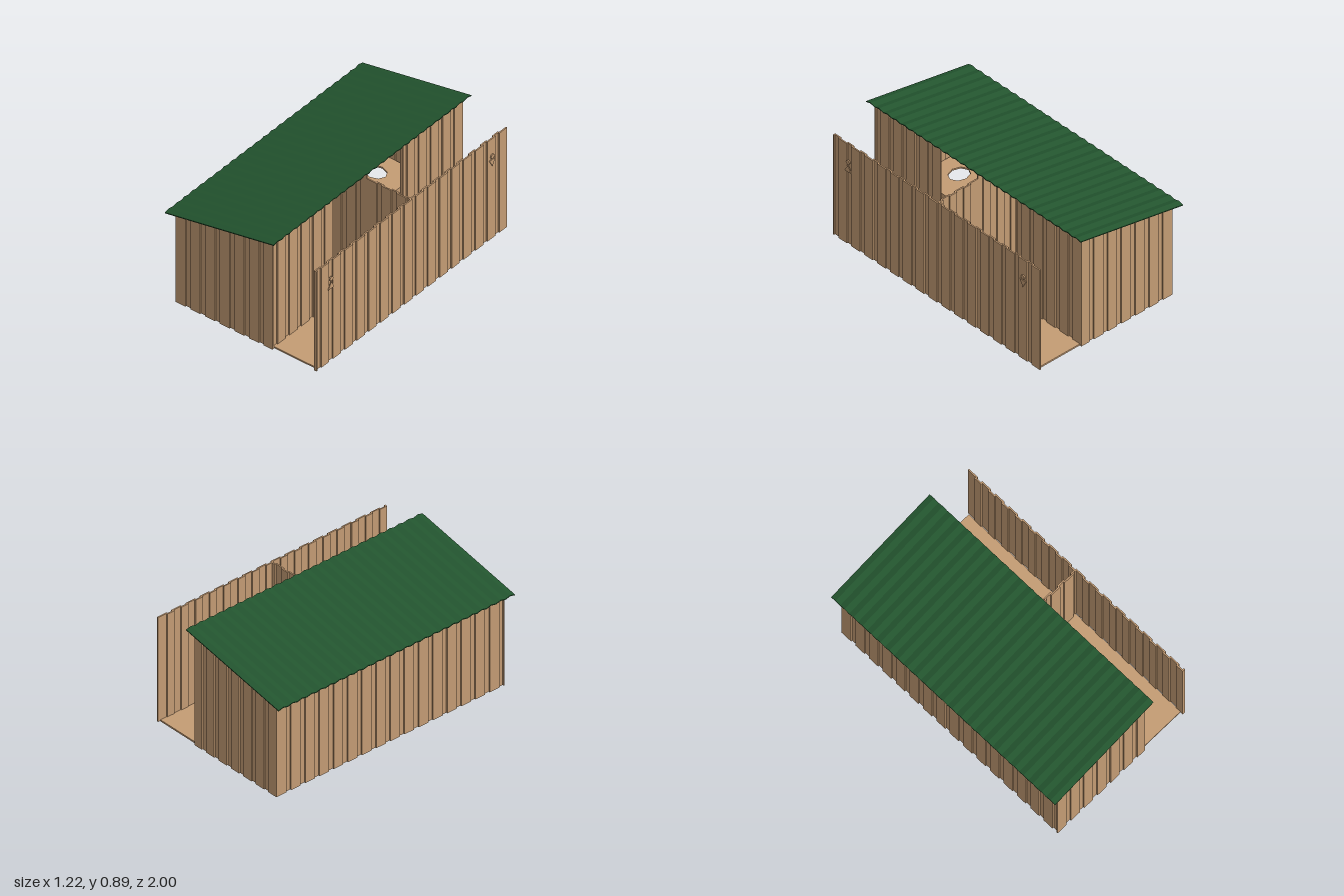
import * as THREE from 'three';

const wood = new THREE.MeshStandardMaterial({ color: 0xc49c74 });
wood.name = 'wood';
const green = new THREE.MeshStandardMaterial({ color: 0x23552f });
green.name = 'roof green';

const SLOPE = 0.192;
const underRoof = x => 0.715 + SLOPE * (x + 0.55);

function add(parent, name, geometry, material = wood) {
  const mesh = new THREE.Mesh(geometry, material);
  mesh.name = name;
  parent.add(mesh);
  return mesh;
}

function box(parent, name, x0, x1, y0, y1, z0, z1) {
  const m = add(parent, name, new THREE.BoxGeometry(x1 - x0, y1 - y0, z1 - z0));
  m.position.set((x0 + x1) / 2, (y0 + y1) / 2, (z0 + z1) / 2);
}

// Board-on-board wall: outer boards with gaps, covered by a second layer behind.
// It runs along the axis from a to b; "at" is the outer face, "out" its direction.
function boardWall(parent, name, axis, a, b, at, out, top) {
  const wall = new THREE.Group();
  wall.name = name;
  parent.add(wall);
  const board = (s0, s1, layer) => {
    s0 = Math.max(s0, a);
    s1 = Math.min(s1, b);
    if (s1 - s0 < 0.005) return;
    const p = at - out * layer * 0.01, q = p - out * 0.01;
    const lo = Math.min(p, q), hi = Math.max(p, q);
    const h = top(s0);
    if (axis === 'x') box(wall, 'board', s0, s1, 0, h, lo, hi);
    else box(wall, 'board', lo, hi, 0, h, s0, s1);
  };
  for (let s = a; s < b - 0.005; s += 0.12) {
    board(s, s + 0.08, 0);
    board(s + 0.07, s + 0.13, 1);
  }
}

function zigzagRoof() {
  // Corrugated section across z, extruded along x and sheared to the pitch
  const n = 50, y = i => (i % 2 ? 0.005 : -0.005);
  const pts = [];
  for (let i = 0; i <= n; i++) pts.push(new THREE.Vector2(-1 + (2 * i) / n, y(i) - 0.003));
  for (let i = n; i >= 0; i--) pts.push(new THREE.Vector2(-1 + (2 * i) / n, y(i) + 0.003));
  const g = new THREE.ExtrudeGeometry(new THREE.Shape(pts), { depth: 0.89, bevelEnabled: false });
  g.rotateY(Math.PI / 2);
  const p = g.attributes.position;
  for (let i = 0; i < p.count; i++) {
    const d = p.getX(i);
    p.setXYZ(i, d - 0.61, p.getY(i) + 0.712 + SLOPE * d, p.getZ(i));
  }
  g.computeVertexNormals();
  return g;
}

// Raised deck with a row of six octagonal holes
function raisedDeck() {
  const s = new THREE.Shape();
  s.moveTo(-0.53, -0.945).lineTo(-0.1, -0.945).lineTo(-0.1, 0.945).lineTo(-0.53, 0.945).closePath();
  for (let i = 0; i < 6; i++) {
    const z = -0.775 + i * 0.31;
    const pts = [];
    for (let k = 0; k < 8; k++) {
      const t = (k * Math.PI) / 4;
      pts.push(new THREE.Vector2(-0.32 + 0.08 * Math.cos(t), z + 0.065 * Math.sin(t)));
    }
    s.holes.push(new THREE.Path(pts));
  }
  const g = new THREE.ExtrudeGeometry(s, { depth: 0.012, bevelEnabled: false });
  g.rotateX(-Math.PI / 2);
  return g;
}

// Door sign: a disc over a triangle, pointing up or down
function sign(parent, name, z, up) {
  const g = new THREE.Group();
  g.name = name;
  const s = new THREE.Shape();
  s.moveTo(-0.03, -0.027 * up).lineTo(0.03, -0.027 * up).lineTo(0, 0.027 * up).closePath();
  const tri = add(g, 'signTriangle', new THREE.ExtrudeGeometry(s, { depth: 0.006, bevelEnabled: false }));
  tri.rotation.y = Math.PI / 2;
  tri.position.set(0.6, 0.612, 0);
  const disc = add(g, 'signDisc', new THREE.CylinderGeometry(0.017, 0.017, 0.009, 10));
  disc.rotation.z = Math.PI / 2;
  disc.position.set(0.604, 0.663, 0);
  g.position.z = z;
  parent.add(g);
}

export function createModel() {
  const model = new THREE.Group();
  model.name = 'latrine';

  // Floors
  box(model, 'lowerFloor', -0.11, 0.585, 0, 0.012, -0.95, 0.945);
  add(model, 'raisedDeck', raisedDeck()).position.y = 0.095;
  box(model, 'riser', -0.11, -0.1, 0.012, 0.107, -0.945, 0.945);

  // Hut walls, with a central opening in the wall facing the screen
  for (const side of [1, -1]) {
    boardWall(model, 'endWall', 'x', -0.55, 0.24, side * 0.965, side, underRoof);
  }
  boardWall(model, 'backWall', 'z', -0.96, 0.96, -0.55, -1, () => 0.715);
  boardWall(model, 'entranceWall', 'z', -0.96, -0.35, 0.24, 1, () => 0.86);
  boardWall(model, 'entranceWall', 'z', 0.35, 0.96, 0.24, 1, () => 0.86);

  // Dividing wall through the hut and out to the screen
  boardWall(model, 'partition', 'x', -0.53, 0.24, 0.01, 1, underRoof);
  boardWall(model, 'outerPartition', 'x', 0.24, 0.585, 0.01, 1, () => 0.8);

  // Privacy screen with signs
  boardWall(model, 'screen', 'z', -0.965, 0.965, 0.6, 1, () => 0.8);
  sign(model, 'upSign', 0.82, 1);
  sign(model, 'downSign', -0.81, -1);

  add(model, 'roof', zigzagRoof(), green);
  return model;
}
